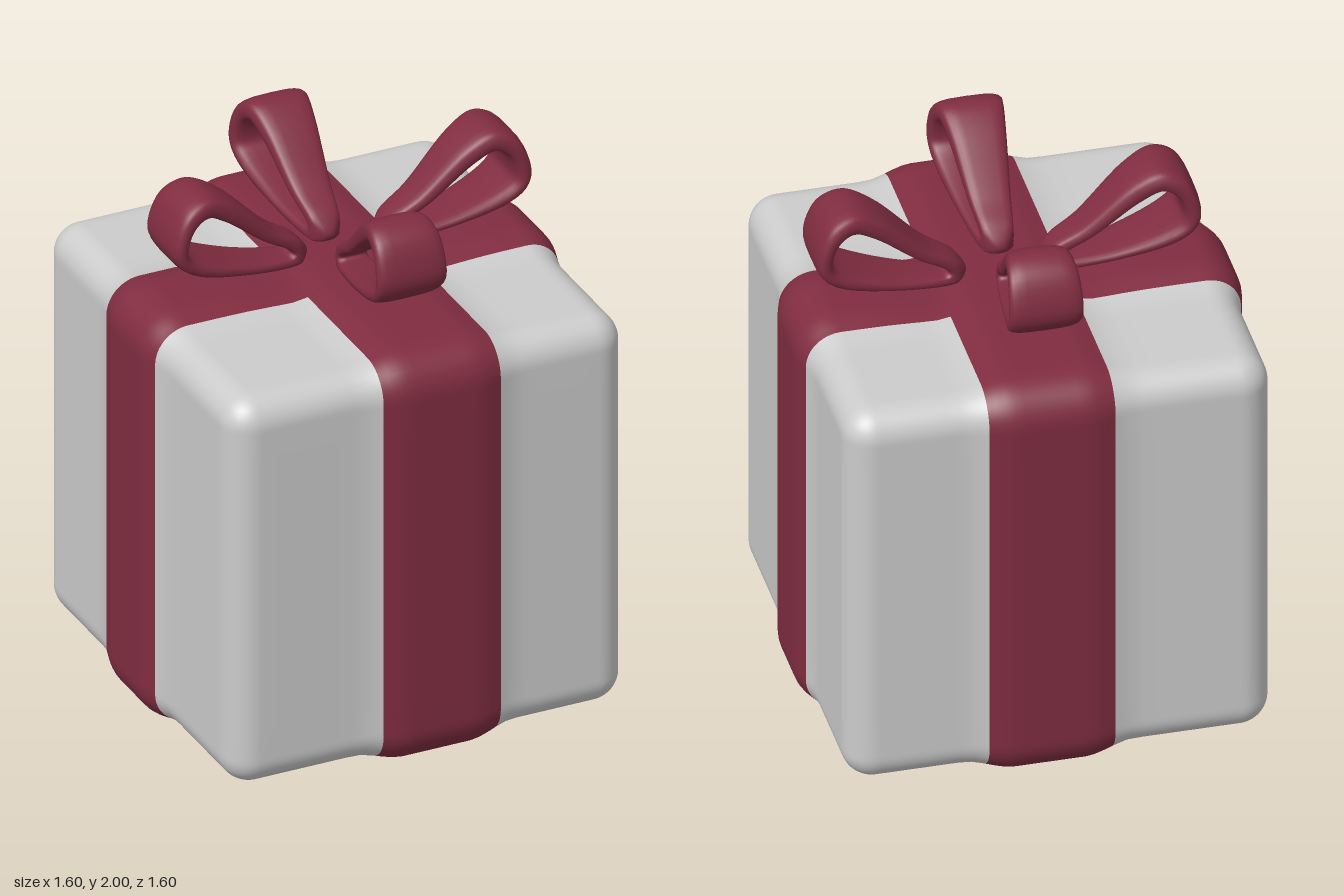
import * as THREE from 'three';
import { mergeVertices } from 'three/addons/utils/BufferGeometryUtils.js';

const paper = new THREE.MeshStandardMaterial({ color: 0xcccccc });
const satin = new THREE.MeshStandardMaterial({ color: 0x802d40 });

// Box limits and the two ribbon bands
const LOW = [-0.76, 0.04, -0.76], HIGH = [0.76, 1.57, 0.76], RADIUS = 0.11;
const BAND_X = { mid: 0.035, half: 0.225 }, BAND_Z = { mid: -0.025, half: 0.195 };
const { smoothstep, lerp, clamp } = THREE.MathUtils;

// Grid lines along an axis: dense in the rounded edges and across the ribbon
function gridLines(breaks, counts) {
  const lines = [breaks[0]];
  counts.forEach((n, s) => {
    for (let i = 1; i <= n; i++) lines.push(lerp(breaks[s], breaks[s + 1], i / n));
  });
  return lines;
}
const LINES = [
  gridLines([-0.76, -0.64, -0.19, 0.26, 0.64, 0.76], [8, 8, 14, 8, 8]),
  gridLines([0.04, 0.16, 1.45, 1.57], [8, 10, 8]),
  gridLines([-0.76, -0.64, -0.22, 0.17, 0.64, 0.76], [8, 8, 14, 8, 8]),
];

const swell = (v, band) => 1 - smoothstep(Math.abs(v - band.mid), band.half - 0.1, band.half + 0.08);

// Cube point -> rounded box point, pushed outward under the ribbons
function surfacePoint(p) {
  const core = p.map((v, k) => clamp(v, LOW[k] + RADIUS, HIGH[k] - RADIUS));
  const normal = new THREE.Vector3(...p.map((v, k) => v - core[k])).normalize();
  const dip = 1 - 0.5 * Math.exp(-(((Math.abs(p[0] - BAND_X.mid) - 0.25) / 0.15) ** 2));
  const push = 0.04 * Math.max(swell(p[0], BAND_X), swell(p[2], BAND_Z) * dip);
  return new THREE.Vector3(...core).addScaledVector(normal, RADIUS + push);
}

// Wrapped box: one smooth skin shared by the paper and ribbon meshes
function wrappedBox() {
  const positions = [], index = [], isRibbon = [];
  for (let k = 0; k < 3; k++) for (const side of [LOW[k], HIGH[k]]) {
    const u = (k + 1) % 3, v = (k + 2) % 3, U = LINES[u], V = LINES[v];
    const base = positions.length / 3;
    for (const a of U) for (const b of V) {
      const p = [];
      p[k] = side; p[u] = a; p[v] = b;
      positions.push(...surfacePoint(p).toArray());
    }
    for (let i = 0; i < U.length - 1; i++) for (let j = 0; j < V.length - 1; j++) {
      const a = base + i * V.length + j, b = a + V.length;
      if (side === HIGH[k]) index.push(a, b, b + 1, a, b + 1, a + 1);
      else index.push(a, b + 1, b, a, a + 1, b + 1);
      const c = [];
      c[k] = side; c[u] = (U[i] + U[i + 1]) / 2; c[v] = (V[j] + V[j + 1]) / 2;
      isRibbon.push((k !== 0 && Math.abs(c[0] - BAND_X.mid) < BAND_X.half) ||
                    (k !== 2 && Math.abs(c[2] - BAND_Z.mid) < BAND_Z.half));
    }
  }
  let skin = new THREE.BufferGeometry();
  skin.setAttribute('position', new THREE.Float32BufferAttribute(positions, 3));
  skin.setIndex(index);
  skin = mergeVertices(skin, 1e-5);
  skin.computeVertexNormals();

  const part = (name, ribbon, material) => {
    const geo = skin.clone();
    geo.setIndex(Array.from(skin.index.array).filter((_, n) => isRibbon[Math.floor(n / 6)] === ribbon));
    const mesh = new THREE.Mesh(geo, material);
    mesh.name = name;
    return mesh;
  };
  return [part('giftBox', false, paper), part('ribbonBands', true, satin)];
}

// Bow loop: puffy band between an outer and an inner teardrop, widening outward
function bowLoopGeometry() {
  const curve = (pts) => new THREE.CatmullRomCurve3(
    pts.map(([x, y]) => new THREE.Vector3(x, y, 0)), true, 'centripetal');
  const outer = curve([[0, 1.66], [0.04, 1.72], [0.14, 1.785], [0.32, 1.955], [0.42, 2.0],
    [0.51, 1.96], [0.56, 1.83], [0.54, 1.76], [0.46, 1.70], [0.24, 1.642], [0.06, 1.62], [0.015, 1.63]]);
  const inner = curve([[0.075, 1.675], [0.09, 1.692], [0.19, 1.755], [0.35, 1.88], [0.425, 1.915],
    [0.475, 1.88], [0.495, 1.81], [0.485, 1.785], [0.44, 1.755], [0.27, 1.692], [0.12, 1.665], [0.085, 1.665]]);
  const N = 72, M = 20, positions = [], index = [];
  const soft = (t) => Math.sign(t) * Math.abs(t) ** 0.6;
  for (let i = 0; i < N; i++) {
    const o = outer.getPoint(i / N), n = inner.getPoint(i / N);
    for (let j = 0; j < M; j++) {
      const a = (j / M) * Math.PI * 2;
      const p = n.clone().lerp(o, 0.5 + 0.5 * soft(Math.cos(a)));
      const half = (0.05 + 0.155 * p.x) * Math.sqrt(clamp((p.x + 0.01) / 0.05, 0.2, 1));
      positions.push(p.x, p.y, half * soft(Math.sin(a)));
      const i2 = (i + 1) % N, j2 = (j + 1) % M;
      index.push(i * M + j, i * M + j2, i2 * M + j, i * M + j2, i2 * M + j2, i2 * M + j);
    }
  }
  const geo = new THREE.BufferGeometry();
  geo.setAttribute('position', new THREE.Float32BufferAttribute(positions, 3));
  geo.setIndex(index);
  geo.computeVertexNormals();
  return geo;
}

export function createModel() {
  const model = new THREE.Group();
  model.name = 'giftBoxWithBow';
  model.add(...wrappedBox());

  const bow = new THREE.Group();
  bow.name = 'bow';
  const loop = bowLoopGeometry();
  const places = [
    ['leftBowLoop', 0.16, -0.035, 0],
    ['rightBowLoop', -0.10, -0.035, Math.PI],
    ['frontBowLoop', 0.015, 0.04, -Math.PI / 2],
    ['backBowLoop', 0.015, -0.075, Math.PI / 2],
  ];
  for (const [name, x, z, turn] of places) {
    const mesh = new THREE.Mesh(loop, satin);
    mesh.name = name;
    mesh.position.set(x, 0, z);
    mesh.rotation.y = turn;
    bow.add(mesh);
  }
  model.add(bow);
  return model;
}
